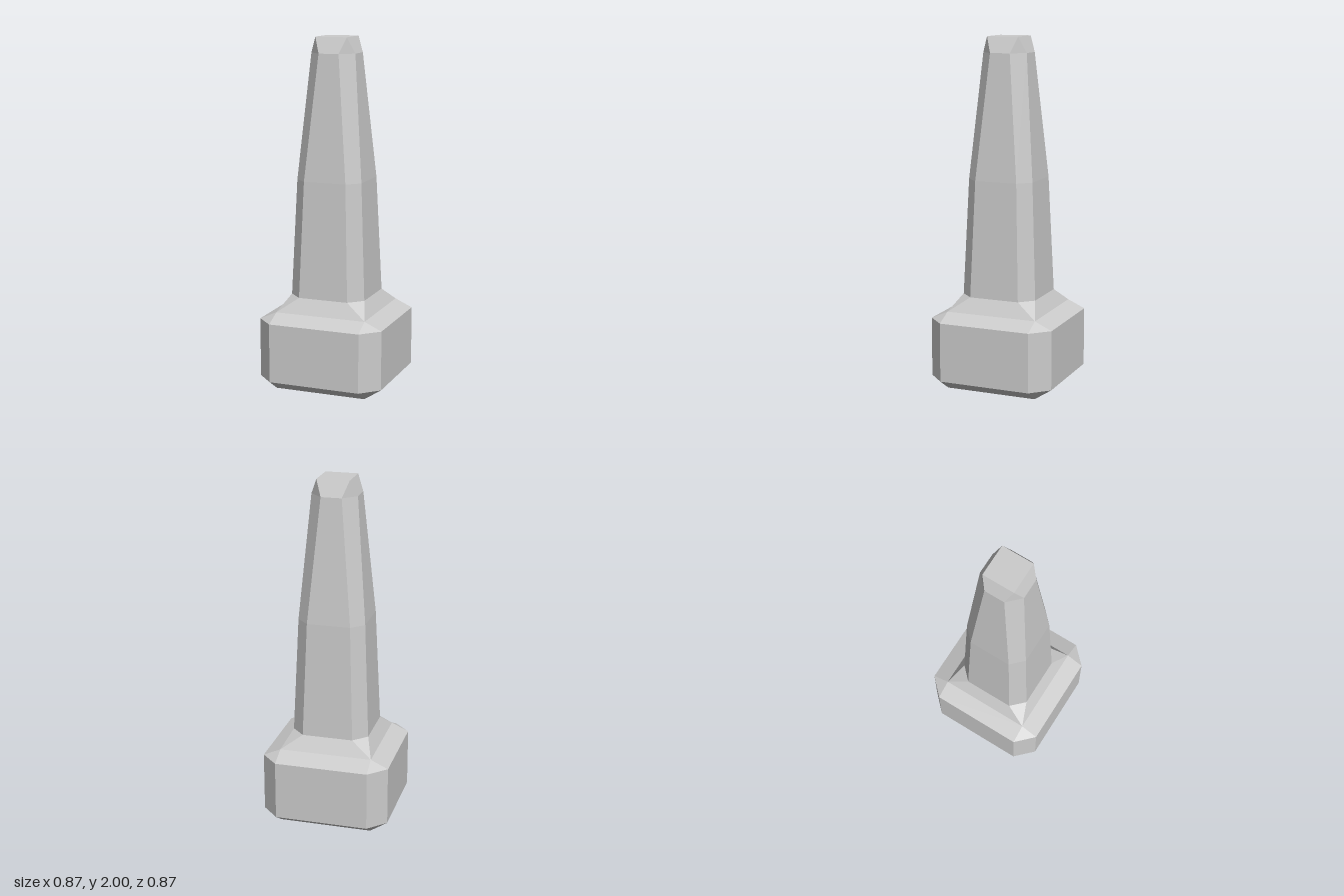
import * as THREE from 'three';

// Square ring with chamfered corners: half width a, half length of each flat side b (a = b gives a plain square)
function ring([y, a, b]) {
  return [[a, -b], [a, b], [b, a], [-b, a], [-a, b], [-a, -b], [-b, -a], [b, -a]]
    .map(([x, z]) => new THREE.Vector3(x, y, z));
}

// Skin a stack of rings from bottom to top, with optional end caps
function loft(name, sections, capBottom, capTop, material) {
  const rings = sections.map(ring);
  const pos = [];
  const tri = (p, q, r) => {
    if (new THREE.Triangle(p, q, r).getArea() > 1e-7) {
      for (const v of [p, q, r]) pos.push(v.x, v.y, v.z);
    }
  };
  for (let k = 0; k < rings.length - 1; k++) {
    const lo = rings[k], hi = rings[k + 1];
    for (let i = 0; i < 8; i++) {
      const j = (i + 1) % 8;
      tri(lo[i], hi[i], lo[j]);
      tri(hi[i], hi[j], lo[j]);
    }
  }
  const first = rings[0], last = rings[rings.length - 1];
  for (let i = 1; i < 7; i++) {
    if (capBottom) tri(first[0], first[i], first[i + 1]);
    if (capTop) tri(last[0], last[i + 1], last[i]);
  }
  const geometry = new THREE.BufferGeometry();
  geometry.setAttribute('position', new THREE.Float32BufferAttribute(pos, 3));
  geometry.computeVertexNormals();
  const mesh = new THREE.Mesh(geometry, material);
  mesh.name = name;
  return mesh;
}

export function createModel() {
  const group = new THREE.Group();
  group.name = 'stonePost';
  const material = new THREE.MeshStandardMaterial({ color: 0xcccccc, flatShading: true });

  const post = new THREE.Group();
  post.name = 'post';
  post.rotation.y = 0.335;

  // Chamfered block foot
  post.add(loft('base', [
    [0, 0.267, 0.267], [0.065, 0.367, 0.268], [0.405, 0.367, 0.268], [0.45, 0.267, 0.267],
  ], true, false, material));

  // Sloped collar between foot and shaft
  post.add(loft('collar', [[0.45, 0.267, 0.267], [0.535, 0.221, 0.146]], false, false, material));

  // Tapered shaft with a bevelled tip
  post.add(loft('shaft', [
    [0.535, 0.221, 0.146], [1.2, 0.193, 0.124], [1.91, 0.131, 0.059], [2, 0.093, 0.093],
  ], false, true, material));

  group.add(post);
  return group;
}
